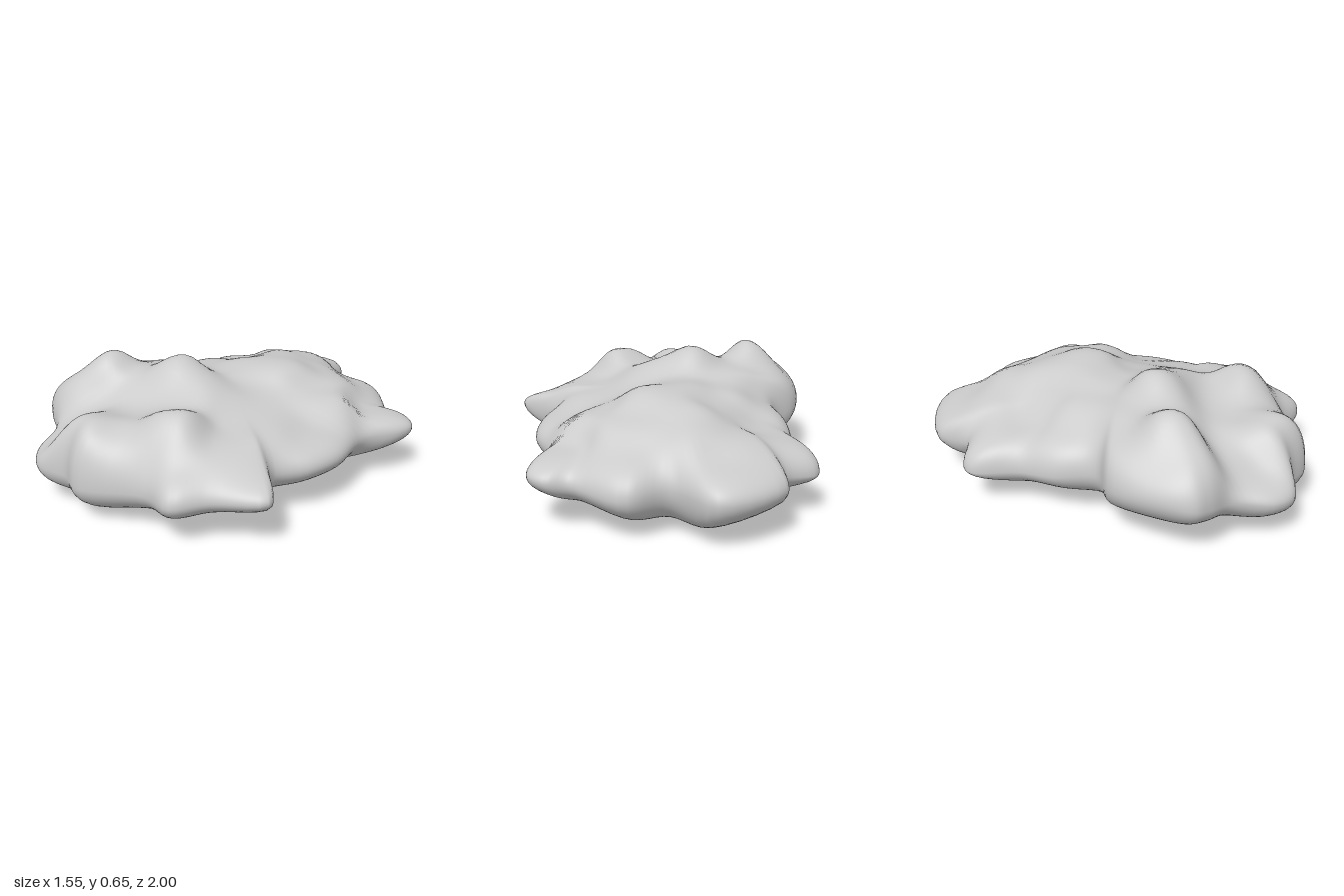
import * as THREE from 'three';

// Lobed rim of the rock, seen from above, as x, z, y (height of the widest edge)
const RIM = [
  [-0.25, -1.0, 0.24], [-0.04, -0.82, 0.24], [0.16, -0.9, 0.22], [0.41, -0.75, 0.23],
  [0.53, -0.76, 0.25], [0.61, -0.7, 0.26], [0.615, -0.6, 0.26], [0.55, -0.4, 0.26],
  [0.635, -0.16, 0.26], [0.635, 0.03, 0.26], [0.57, 0.22, 0.26], [0.775, 0.41, 0.27],
  [0.58, 0.6, 0.25], [0.49, 0.77, 0.24], [0.29, 0.77, 0.22], [0.0, 0.96, 0.2],
  [-0.15, 0.94, 0.2], [-0.3, 1.0, 0.21], [-0.42, 0.94, 0.22], [-0.53, 0.77, 0.25],
  [-0.66, 0.72, 0.28], [-0.74, 0.67, 0.3], [-0.775, 0.53, 0.32], [-0.74, 0.25, 0.3],
  [-0.62, 0.12, 0.27], [-0.67, -0.08, 0.24], [-0.68, -0.28, 0.22], [-0.765, -0.48, 0.21],
  [-0.74, -0.55, 0.21], [-0.58, -0.64, 0.23], [-0.57, -0.82, 0.24],
];

// Peaks, ridges and hollows of the upper side as x, z, y
const RELIEF = [
  [-0.18, 0.28, 0.69], [0, 0.22, 0.6], [-0.52, 0.45, 0.69], [-0.62, 0.57, 0.56],
  [0.23, 0.57, 0.6], [-0.11, 0.86, 0.62], [-0.13, 0.72, 0.5], [-0.15, 0.58, 0.43],
  [0.07, 0.42, 0.49], [-0.33, 0.66, 0.41], [0.06, 0.74, 0.47], [0.45, 0.42, 0.43],
  [0.3, 0.18, 0.43], [0.14, 0.16, 0.53], [0.14, 0, 0.49], [-0.08, -0.03, 0.53],
  [-0.1, -0.18, 0.56], [0.07, -0.3, 0.57], [-0.1, -0.42, 0.54], [-0.12, -0.62, 0.48],
  [-0.25, -0.85, 0.38], [0.15, -0.75, 0.39], [0.3, -0.3, 0.46], [0.5, -0.1, 0.37],
  [0.5, -0.6, 0.35], [0.33, 0, 0.43], [-0.35, -0.05, 0.51], [-0.55, -0.05, 0.42],
  [-0.48, -0.35, 0.37], [-0.3, -0.3, 0.48], [-0.67, -0.49, 0.36], [-0.55, -0.57, 0.41],
  [-0.4, -0.6, 0.45], [-0.5, -0.74, 0.37], [0.12, -0.52, 0.48], [-0.38, 0.18, 0.54],
  [-0.6, 0.25, 0.5], [-0.31, 0.38, 0.53], [0.4, 0.7, 0.38], [-0.35, 0.85, 0.32],
  [0.65, 0.42, 0.36], [-0.7, 0.5, 0.44], [-0.1, 0.46, 0.47],
];

// Smoothly blended height of the upper side
function topHeight(x, z) {
  let sum = 0, total = 0;
  for (const [px, pz, py] of RELIEF) {
    const d2 = (x - px) ** 2 + (z - pz) ** 2;
    const w = Math.exp(-d2 / 0.017) + 1e-6;
    sum += w * py;
    total += w;
  }
  return sum / total;
}

// Keel-shaped underside, rising to the two sides
function bottomHeight(x) {
  return 0.21 * (Math.sqrt((x + 0.07) ** 2 + 0.006) - 0.077);
}

function rockGeometry() {
  const around = 160, half = 36, rows = half * 2;
  const cx = -0.05, cz = 0.03;
  const curve = new THREE.CatmullRomCurve3(
    RIM.map(([x, z, y]) => new THREE.Vector3(x, y, z)), true, 'centripetal');
  const rim = curve.getPoints(around).slice(0, around);
  const positions = [], index = [];

  // Rings run from the top centre, over the rim, to the bottom centre
  const addPoint = (k, p) => {
    const s = Math.sin((Math.PI / 2) * (k / half));
    const x = cx + (p.x - cx) * s, z = cz + (p.z - cz) * s;
    const top = k <= half;
    const h = top ? topHeight(x, z) : bottomHeight(x);
    const blend = Math.sqrt(Math.max(0, 1 - s ** (top ? 7 : 5)));
    positions.push(x, p.y + (h - p.y) * blend, z);
  };
  addPoint(0, rim[0]);
  for (let k = 1; k < rows; k++) for (const p of rim) addPoint(k, p);
  addPoint(rows, rim[0]);

  const last = positions.length / 3 - 1;
  const id = (k, i) => (k === 0 ? 0 : k === rows ? last : 1 + (k - 1) * around + (i % around));
  for (let k = 0; k < rows; k++) {
    for (let i = 0; i < around; i++) {
      const a = id(k, i), b = id(k, i + 1), c = id(k + 1, i), d = id(k + 1, i + 1);
      if (k > 0) index.push(a, b, c);
      if (k < rows - 1) index.push(b, d, c);
    }
  }
  const geometry = new THREE.BufferGeometry();
  geometry.setAttribute('position', new THREE.Float32BufferAttribute(positions, 3));
  geometry.setIndex(index);
  geometry.computeBoundingBox();
  geometry.translate(0, -geometry.boundingBox.min.y, 0);
  geometry.computeVertexNormals();
  return geometry;
}

export function createModel() {
  const group = new THREE.Group();
  group.name = 'rock';
  const body = new THREE.Mesh(
    rockGeometry(), new THREE.MeshStandardMaterial({ color: 0xcccccc }));
  body.name = 'rockBody';
  group.add(body);
  return group;
}
